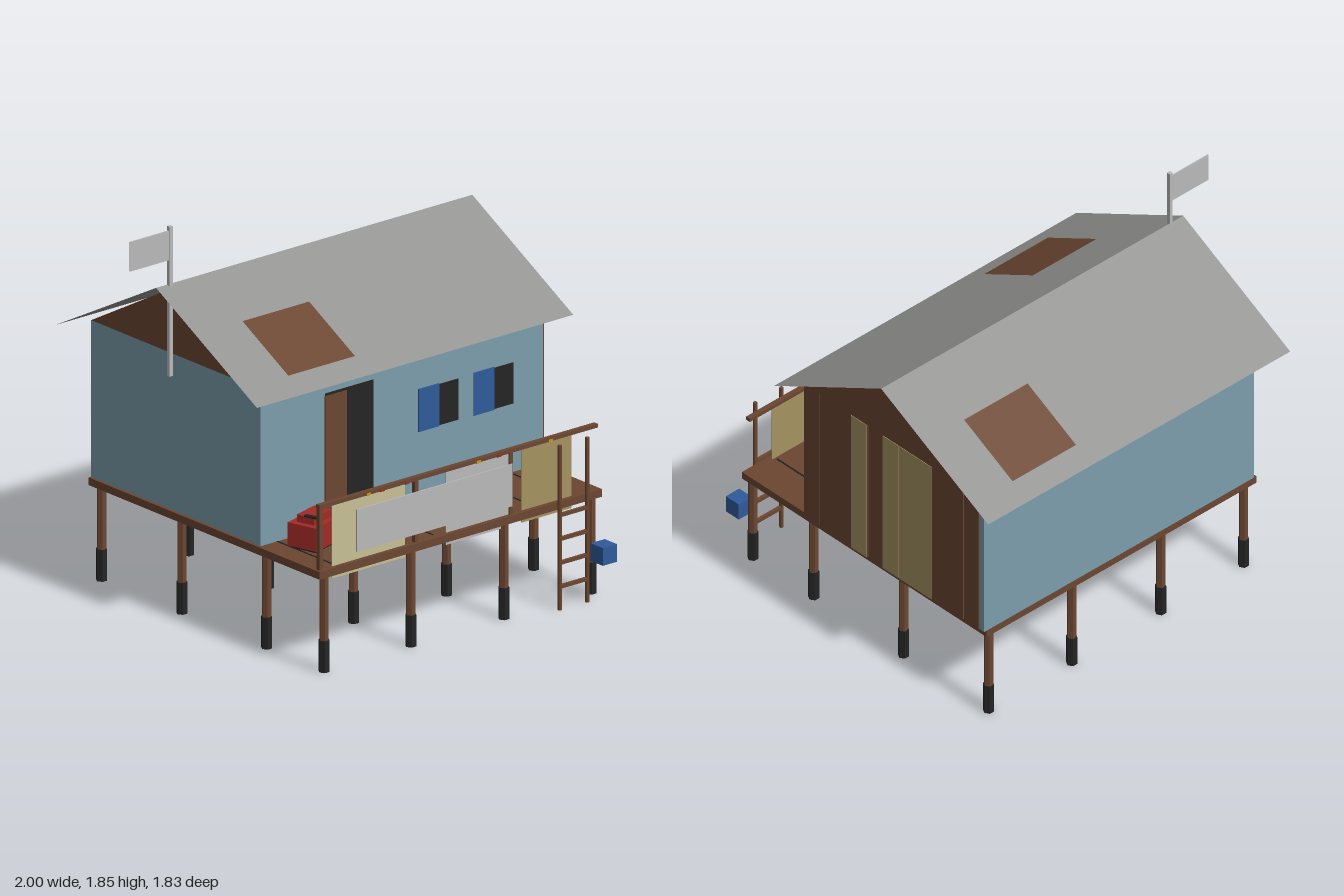
import * as THREE from 'three';

export function createModel() {
  const model = new THREE.Group();
  model.name = 'stiltHouse';

  const mat = (name, color, side = THREE.FrontSide) => {
    const m = new THREE.MeshStandardMaterial({ color, side });
    m.name = name;
    return m;
  };
  const wood = mat('brownWood', 0x6b4630);
  const wall = mat('paleBlueWall', 0x7c9dab);
  const roofGrey = mat('roofGrey', 0x939491);
  const cloth = mat('lightGrey', 0xbababa);
  const cream = mat('cream', 0xc8bf96);
  const tan = mat('tan', 0xa59261);
  const black = mat('black', 0x242424);
  const blue = mat('blue', 0x2f5b9b);
  const red = mat('red', 0xa32a26);
  const yellow = mat('yellow', 0xc9980f);
  roofGrey.side = wood.side = THREE.DoubleSide;

  const add = (name, geo, material, parent = model) => {
    const mesh = new THREE.Mesh(geo, material);
    mesh.name = name;
    parent.add(mesh);
    return mesh;
  };
  // Box given by its lower and upper limits on each axis
  const box = (name, material, x0, x1, y0, y1, z0, z1, parent = model) => {
    const g = new THREE.BoxGeometry(x1 - x0, y1 - y0, z1 - z0);
    g.translate((x0 + x1) / 2, (y0 + y1) / 2, (z0 + z1) / 2);
    return add(name, g, material, parent);
  };

  // Deck with dark gaps between the boards
  box('deck', wood, -0.745, 0.9, 0.452, 0.488, -0.8, 0.788);
  for (let i = 0; i < 8; i++) {
    const x = -0.633 + i * 0.1935;
    box('boardGap', black, x - 0.004, x + 0.004, 0.486, 0.49, 0.365, 0.75);
  }

  // Hexagonal stilts with black feet
  const stiltGeo = new THREE.CylinderGeometry(0.022, 0.022, 0.32, 6).rotateY(Math.PI / 6).toNonIndexed();
  const footGeo = new THREE.CylinderGeometry(0.026, 0.026, 0.15, 6).rotateY(Math.PI / 6).toNonIndexed();
  stiltGeo.computeVertexNormals();
  footGeo.computeVertexNormals();
  for (const x of [-0.697, -0.192, 0.35, 0.857]) {
    for (const z of [0.762, 0.368, -0.215, -0.767]) {
      add('stilt', stiltGeo, wood).position.set(x, 0.3, z);
      add('foot', footGeo, black).position.set(x, 0.075, z);
    }
  }

  // House body and gable prism
  box('walls', wall, -0.73, 0.915, 0.488, 1.23, -0.8, 0.365);
  const gable = new THREE.Shape([
    new THREE.Vector2(-0.365, 1.23), new THREE.Vector2(0.8, 1.23), new THREE.Vector2(0.2175, 1.553),
  ]);
  const gableGeo = new THREE.ExtrudeGeometry(gable, { depth: 1.65, bevelEnabled: false });
  gableGeo.rotateY(Math.PI / 2).translate(-0.73, 0, 0);
  add('gables', gableGeo, wood);

  // Boards and pale panels on the left wall
  for (const [z0, z1] of [[0.267, 0.365], [-0.048, 0.262], [-0.251, -0.054], [-0.668, -0.256], [-0.77, -0.673]]) {
    box('wallBoard', wood, 0.914, 0.92, 0.488, 1.23, z0, z1);
  }
  for (const [z0, z1] of [[-0.046, 0.055], [-0.251, -0.15], [-0.462, -0.256]]) {
    box('wallPanel', tan, 0.916, 0.923, 0.488, 1.228, z0, z1);
  }

  // Roof: two thin slopes with a wooden patch on each
  const ridgeZ = -0.222;
  const slopePanel = (name, material, x0, x1, z0, z1, lift) => {
    const y = (z) => 1.573 - 0.537 * Math.abs(z - ridgeZ) + lift;
    const g = new THREE.BufferGeometry();
    g.setAttribute('position', new THREE.Float32BufferAttribute([
      x0, y(z0), z0, x0, y(z1), z1, x1, y(z1), z1, x1, y(z0), z0,
    ], 3));
    g.setIndex([0, 1, 2, 0, 2, 3]);
    g.computeVertexNormals();
    return add(name, g, material);
  };
  slopePanel('roofFront', roofGrey, -0.842, 1, ridgeZ, 0.472, 0);
  slopePanel('roofBack', roofGrey, -0.842, 1, -0.916, ridgeZ, 0);
  slopePanel('roofPatchFront', wood, -0.573, -0.185, 0.055, 0.37, 0.005);
  slopePanel('roofPatchBack', wood, 0.37, 0.757, -0.816, -0.502, 0.005);

  // Flag on the right gable
  box('flagpole', cloth, -0.775, -0.757, 1.14, 1.85, -0.225, -0.207);
  box('flag', cloth, -1, -0.775, 1.69, 1.83, -0.219, -0.213);

  // Doorway, door leaf, windows and shutters
  box('doorway', black, -0.355, -0.075, 0.488, 1.122, 0.36, 0.367);
  box('doorLeaf', wood, -0.358, -0.23, 0.488, 1.11, 0.362, 0.37);
  for (const x of [0.187, 0.508]) {
    box('window', black, x + 0.1, x + 0.232, 0.813, 1.008, 0.36, 0.367);
    box('shutter', blue, x, x + 0.12, 0.81, 1.013, 0.362, 0.37);
  }

  // Railing
  box('handrail', wood, -0.735, 0.885, 0.78, 0.798, 0.752, 0.776);
  for (const x of [-0.723, -0.168, 0.383]) {
    box('railPost', wood, x - 0.01, x + 0.01, 0.488, 0.782, 0.754, 0.774);
  }

  // Cloths hung on the rail, with pegs
  box('clothCream', cream, -0.653, -0.23, 0.43, 0.785, 0.762, 0.766);
  box('clothGrey', cloth, 0.01, 0.375, 0.43, 0.785, 0.762, 0.766);
  box('clothTan', tan, 0.45, 0.74, 0.43, 0.785, 0.762, 0.766);
  box('banner', cloth, -0.524, 0.383, 0.53, 0.73, 0.778, 0.784);
  for (const [x, m] of [[-0.45, yellow], [0.19, yellow], [0.61, yellow], [-0.37, red], [-0.225, red], [0.31, red]]) {
    box('peg', m, x - 0.012, x + 0.012, 0.778, 0.79, 0.759, 0.779);
  }

  // Ladder
  for (const x of [0.61, 0.77]) {
    add('ladderRail', new THREE.CylinderGeometry(0.01, 0.01, 0.78, 8), wood).position.set(x, 0.39, 0.84);
  }
  for (let i = 0; i < 4; i++) {
    const y = 0.11 + i * 0.113;
    box('rung', wood, 0.61, 0.77, y - 0.008, y + 0.008, 0.832, 0.848);
  }

  // Blue crate beside the ladder
  box('crate', blue, 0.796, 0.878, 0.185, 0.269, 0.832, 0.916);

  // Red generator, turned on the deck
  const generator = new THREE.Group();
  generator.name = 'generator';
  generator.position.set(-0.537, 0, 0.505);
  generator.rotation.y = 0.28;
  model.add(generator);
  box('generatorBody', red, -0.098, 0.098, 0.5, 0.61, -0.076, 0.076, generator);
  box('generatorBase', black, -0.085, 0.085, 0.488, 0.5, -0.065, 0.065, generator);
  box('generatorTank', red, -0.07, 0.07, 0.61, 0.645, -0.045, 0.045, generator);
  box('generatorVent', black, 0.096, 0.101, 0.53, 0.58, 0.02, 0.045, generator);
  box('generatorHandle', black, -0.08, -0.06, 0.645, 0.653, 0.0, 0.065, generator);

  // Yellow fuel can
  box('fuelCan', yellow, 0.433, 0.492, 0.488, 0.603, 0.42, 0.505);

  return model;
}
